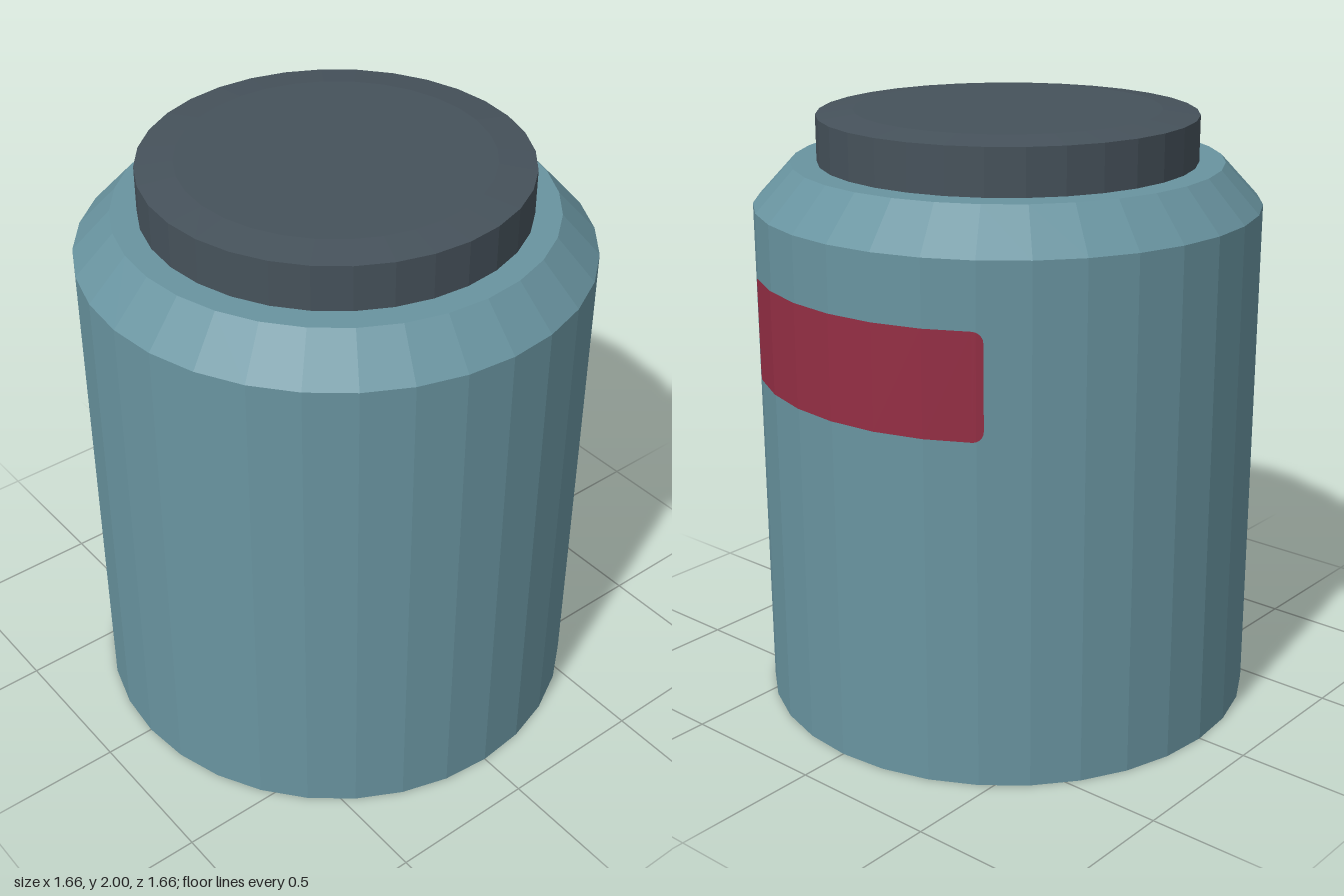
import * as THREE from 'three';

const SIDES = 32;
const STEP = (Math.PI * 2) / SIDES;
const R = 0.83;

const bodyPaint = new THREE.MeshStandardMaterial({ color: 0x6994a0 });
bodyPaint.name = 'blue grey body';
const lidPaint = new THREE.MeshStandardMaterial({ color: 0x46525b });
lidPaint.name = 'dark slate lid';
const labelPaint = new THREE.MeshStandardMaterial({ color: 0x942e44 });
labelPaint.name = 'crimson label';

// Faceted solid of revolution from [radius, height] pairs, bottom to top
function turned(name, profile, material) {
  const points = profile.map(([r, y]) => new THREE.Vector2(r, y));
  const geometry = new THREE.LatheGeometry(points, SIDES).toNonIndexed();
  geometry.computeVertexNormals();
  const mesh = new THREE.Mesh(geometry, material);
  mesh.name = name;
  return mesh;
}

// Rounded plate that follows the facets of the body on its +x side
function wrappedLabel() {
  const halfAngle = 0.616, middle = 1.32, halfHeight = 0.17, corner = 0.035;
  const cornerAngle = corner / R;
  const angles = [];
  for (let i = -3; i <= 3; i++) angles.push(i * STEP);
  for (let i = 0; i <= 5; i++) {
    const a = halfAngle - cornerAngle * (1 - Math.sin((i / 5) * Math.PI / 2));
    angles.push(a, -a);
  }
  angles.sort((a, b) => a - b);

  const positions = [], index = [];
  angles.forEach((a, i) => {
    // Distance from the axis to the flat facet at this angle
    const local = a - (Math.floor(a / STEP + 1e-6) + 0.5) * STEP;
    const r = (R + 0.004) * Math.cos(STEP / 2) / Math.cos(local);
    // Height shrinks along a quarter circle near each end
    const t = Math.max(0, Math.abs(a) - (halfAngle - cornerAngle)) / cornerAngle;
    const h = halfHeight - corner * (1 - Math.sqrt(Math.max(0, 1 - t * t)));
    const x = r * Math.cos(a), z = r * Math.sin(a);
    positions.push(x, middle - h, z, x, middle + h, z);
    if (i > 0) {
      const k = 2 * i;
      index.push(k - 2, k - 1, k, k - 1, k + 1, k);
    }
  });
  const indexed = new THREE.BufferGeometry();
  indexed.setAttribute('position', new THREE.Float32BufferAttribute(positions, 3));
  indexed.setIndex(index);
  const geometry = indexed.toNonIndexed();
  geometry.computeVertexNormals();
  const mesh = new THREE.Mesh(geometry, labelPaint);
  mesh.name = 'label';
  return mesh;
}

export function createModel() {
  const model = new THREE.Group();
  model.name = 'jar';
  // Closed body with a sloped shoulder
  model.add(turned('body', [[0, 0], [R, 0], [R, 1.7], [0.705, 1.835], [0, 1.835]], bodyPaint));
  // Lid with a very shallow bevelled top
  model.add(turned('lid', [[0.62, 1.835], [0.62, 1.985], [0.5, 2], [0, 2]], lidPaint));
  model.add(wrappedLabel());
  return model;
}
